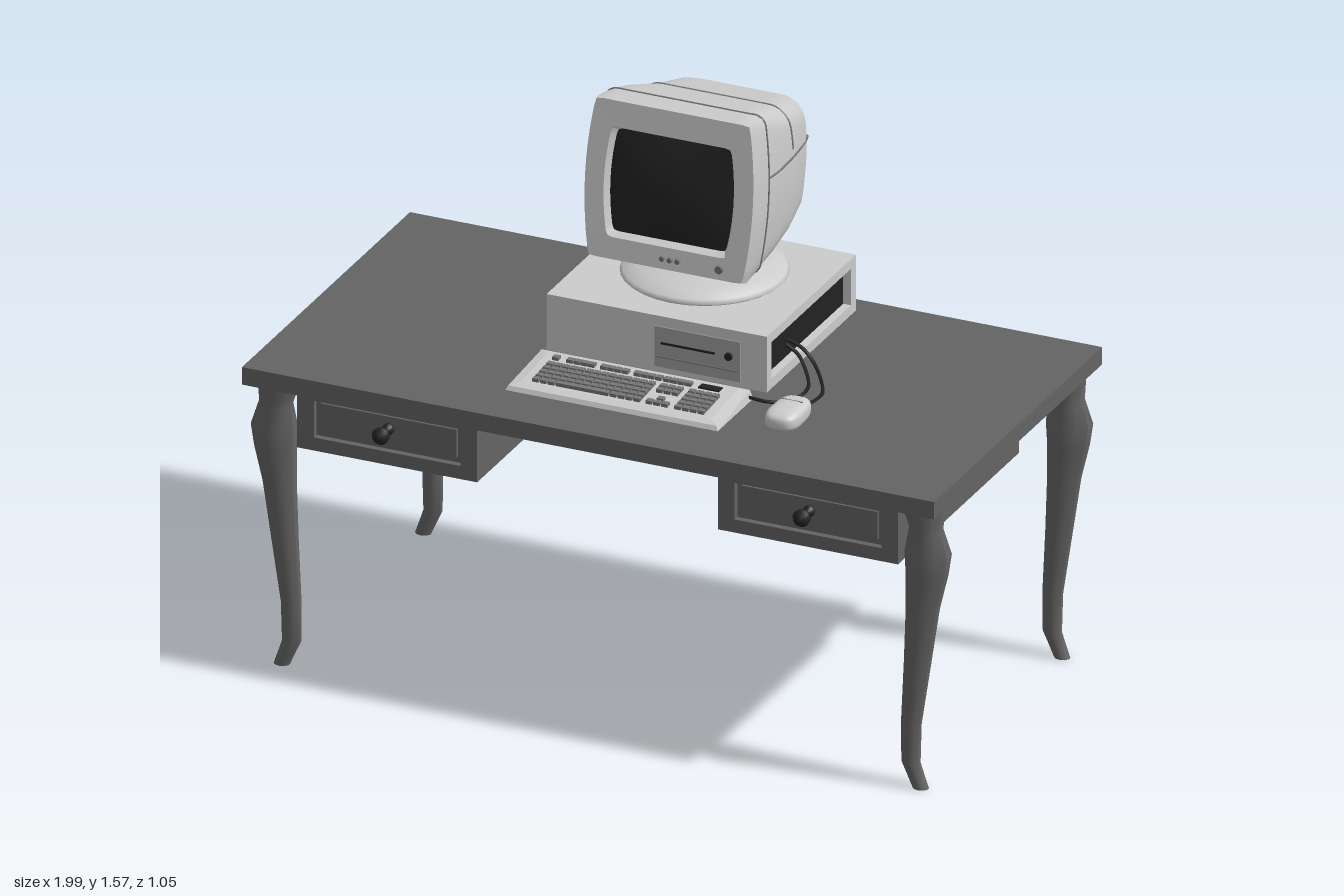
import * as THREE from 'three';
import { mergeGeometries, toCreasedNormals } from 'three/addons/utils/BufferGeometryUtils.js';

const mat = (color) => new THREE.MeshStandardMaterial({ color });
const GREY = mat(0xcccccc), WOOD = mat(0x646464), DARK = mat(0x222222), MID = mat(0x777777), PANEL = mat(0xa0a0a0);
const V = (x, y, z) => new THREE.Vector3(x, y, z);
const lerp = THREE.MathUtils.lerp;

function add(parent, name, geo, material, x = 0, y = 0, z = 0) {
  const m = new THREE.Mesh(geo, material);
  m.name = name;
  m.position.set(x, y, z);
  parent.add(m);
  return m;
}
const box = (w, h, d) => new THREE.BoxGeometry(w, h, d);

// Skin a list of rings (equal point counts); optionally close both ends
function loft(rings, crease, capStart, capEnd) {
  const n = rings[0].length, pts = rings.flat(), idx = [];
  for (let r = 0; r < rings.length - 1; r++) for (let i = 0; i < n; i++) {
    const a = r * n + i, c = r * n + (i + 1) % n;
    idx.push(a, a + n, c, c, a + n, c + n);
  }
  const cap = (ring, start, flip) => {
    const c = pts.length;
    pts.push(ring.reduce((s, p) => s.add(p), V(0, 0, 0)).divideScalar(n));
    for (let i = 0; i < n; i++) {
      const j = (i + 1) % n;
      idx.push(c, start + (flip ? j : i), start + (flip ? i : j));
    }
  };
  if (capStart) cap(rings[0], 0, false);
  if (capEnd) cap(rings.at(-1), (rings.length - 1) * n, true);
  const g = new THREE.BufferGeometry().setFromPoints(pts);
  g.setIndex(idx);
  return toCreasedNormals(g, crease);
}

// Rectangular frame with a rectangular opening, facing +z
function frame(w, h, iw, ih, depth) {
  const rect = (P, a, b) => new P([[-a, -b], [a, -b], [a, b], [-a, b]].map(([x, y]) => new THREE.Vector2(x / 2, y / 2)));
  const s = rect(THREE.Shape, w, h);
  s.holes.push(rect(THREE.Path, iw, ih));
  return new THREE.ExtrudeGeometry(s, { depth, bevelEnabled: false });
}
const tube = (pts, r, tension = 0.5) =>
  new THREE.TubeGeometry(new THREE.CatmullRomCurve3(pts, false, 'catmullrom', tension), pts.length * 5, r, 6);

function buildDesk() {
  const g = new THREE.Group();
  g.name = 'desk';
  add(g, 'deskTop', box(1.98, 0.05, 1.046), WOOD, 0, 0.845, 0);
  // curved leg: height, centre x, half width, half depth
  const leg = [[0.82, 0.922, 0.058, 0.05], [0.8, 0.923, 0.055, 0.049], [0.75, 0.93, 0.046, 0.037], [0.68, 0.935, 0.064, 0.05],
    [0.62, 0.932, 0.058, 0.045], [0.52, 0.92, 0.046, 0.037], [0.36, 0.905, 0.037, 0.03], [0.18, 0.887, 0.028, 0.022],
    [0.07, 0.886, 0.026, 0.02], [0.04, 0.898, 0.024, 0.019], [0, 0.914, 0.022, 0.018]];
  for (const sx of [-1, 1]) for (const z of [-0.44, 0.44]) {
    const rings = leg.map(([y, cx, rx, rz]) => Array.from({ length: 10 }, (_, i) => {
      const a = (i + 0.5) / 10 * Math.PI * 2;
      return V(sx * cx + rx * Math.cos(a), y, z - rz * Math.sin(a));
    }));
    add(g, 'leg', loft(rings, 0.7, false, true), WOOD);
  }
  // drawers with framed fronts and turned knobs
  const knob = new THREE.LatheGeometry([[0, 0], [0.016, 0], [0.016, 0.006], [0.009, 0.014], [0.009, 0.03], [0.022, 0.038],
    [0.024, 0.052], [0.016, 0.066], [0, 0.07]].map(([r, h]) => new THREE.Vector2(r, h)), 16).rotateX(Math.PI / 2);
  for (const x of [-0.602, 0.602]) {
    add(g, 'drawerBox', box(0.515, 0.18, 0.735), WOOD, x, 0.73, 0.0775);
    add(g, 'drawerFrame', frame(0.515, 0.18, 0.42, 0.105, 0.018), WOOD, x, 0.73, 0.445);
    add(g, 'drawerPanel', box(0.39, 0.08, 0.012), WOOD, x, 0.735, 0.449);
    add(g, 'drawerKnob', knob, DARK, x, 0.74, 0.455);
  }
  return g;
}

function buildCase() {
  const g = new THREE.Group();
  g.name = 'computerCase';
  add(g, 'caseBody', box(0.605, 0.16, 0.555), GREY, -0.0125, 0.95, -0.1825);
  // rim around the dark recessed side
  const rim = add(g, 'caseSideRim', frame(0.555, 0.16, 0.495, 0.105, 0.025), GREY, 0.29, 0.95, -0.1825);
  rim.rotation.y = Math.PI / 2;
  add(g, 'caseSideRecess', box(0.002, 0.105, 0.495), DARK, 0.291, 0.95, -0.1825);
  add(g, 'drivePanel', box(0.245, 0.115, 0.006), PANEL, 0.117, 0.943, 0.095);
  add(g, 'driveSlot', box(0.155, 0.006, 0.004), DARK, 0.09, 0.955, 0.098);
  add(g, 'driveEdge', box(0.235, 0.003, 0.004), MID, 0.117, 0.915, 0.098);
  add(g, 'powerButton', new THREE.CylinderGeometry(0.011, 0.011, 0.01, 14).rotateX(Math.PI / 2), DARK, 0.208, 0.955, 0.1);
  return g;
}

function buildMonitor() {
  const g = new THREE.Group();
  g.name = 'monitor';
  const bulge = (t) => 1 - 0.085 * t * t;
  // rounded, barrel-sided section: z bottom, z top, y bottom, y top, half width, corner radius
  const ring = ([zb, zt, yb, yt, hw, r]) => {
    const N = 20, hh = (yt - yb) / 2, pts = [];
    for (let k = 0; k < 4 * N; k++) {
      const u = (k % N) / N * 2 - 1;
      const [a, b] = [[1, u], [-u, 1], [-1, -u], [u, -1]][Math.floor(k / N)];
      const x = a * hw, y = b * hh;
      const cx = THREE.MathUtils.clamp(x, r - hw, hw - r), cy = THREE.MathUtils.clamp(y, r - hh, hh - r);
      const s = Math.min(1, r / (Math.hypot(x - cx, y - cy) || 1));
      const py = cy + (y - cy) * s, t = py / hh;
      pts.push(V((cx + (x - cx) * s) * bulge(t), (yb + yt) / 2 + py, lerp(zb, zt, (t + 1) / 2)));
    }
    return pts;
  };
  const secs = [[0.016, -0.017, 1.21, 1.49, 0.176, 0.01], [0.037, 0.002, 1.2, 1.5, 0.186, 0.012], [0.044, -0.006, 1.14, 1.572, 0.24, 0.008],
    [0.02, -0.025, 1.13, 1.572, 0.244, 0.01], [-0.05, -0.09, 1.13, 1.565, 0.244, 0.025], [-0.15, -0.15, 1.13, 1.553, 0.24, 0.045],
    [-0.27, -0.27, 1.13, 1.51, 0.225, 0.055], [-0.38, -0.4, 1.14, 1.477, 0.203, 0.06], [-0.418, -0.438, 1.16, 1.46, 0.188, 0.06],
    [-0.43, -0.447, 1.19, 1.43, 0.16, 0.05]];
  add(g, 'monitorShell', loft(secs.map(ring), 0.6, false, true), GREY);

  // bulged glass screen
  const glass = new THREE.PlaneGeometry(2, 2, 16, 16), p = glass.attributes.position;
  for (let i = 0; i < p.count; i++) {
    const a = p.getX(i), b = p.getY(i);
    p.setXYZ(i, a * 0.178 * bulge(b), 1.35 + b * 0.142, -0.001 - 0.0165 * b + 0.022 * (1 - a * a) * (1 - b * b));
  }
  glass.computeVertexNormals();
  add(g, 'screen', glass, DARK);

  // shell seams
  const bezel = ring(secs[4]);
  add(g, 'bezelSeam', tube([...bezel, bezel[0]], 0.003), MID);
  add(g, 'topSeam', tube(ring(secs[6]).filter((q, i) => q.y > 1.385 && i < 60), 0.003), MID);
  const side = [[0.242, 1.398, -0.075], [0.239, 1.388, -0.15], [0.224, 1.374, -0.27], [0.201, 1.36, -0.392], [0.186, 1.357, -0.431], [0.15, 1.355, -0.442]];
  add(g, 'sideSeam', tube([...side.map((q) => V(...q)), ...side.reverse().map(([x, y, z]) => V(-x, y, z))], 0.003), MID);

  // sloped connector panel on the back, extruded across x
  const prof = new THREE.Shape([[0.39, 1.19], [0.447, 1.2], [0.464, 1.335], [0.4, 1.35]].map((q) => new THREE.Vector2(...q)));
  const back = new THREE.ExtrudeGeometry(prof, { depth: 0.22, bevelEnabled: false }).rotateY(Math.PI / 2);
  add(g, 'backPanel', back.translate(-0.11, 0, 0), MID);

  for (const [x, r] of [[-0.008, 0.007], [0.014, 0.007], [0.036, 0.007], [0.155, 0.011]])
    add(g, 'monitorButton', new THREE.CylinderGeometry(r, r, 0.014, 12).rotateX(Math.PI / 2), MID, x, 1.17, 0.043);

  // swivel neck and round foot
  const lathe = (pts, seg) => new THREE.LatheGeometry(pts.map((q) => new THREE.Vector2(...q)), seg);
  add(g, 'swivelNeck', lathe([[0, 1.06], [0.06, 1.075], [0.095, 1.09], [0.13, 1.112], [0.158, 1.145]], 24), GREY, 0, 0, -0.205);
  add(g, 'monitorFoot', lathe([[0.215, 1.03], [0.222, 1.036], [0.215, 1.047], [0.18, 1.063], [0.12, 1.078], [0.06, 1.085], [0, 1.085]], 32), GREY, 0, 0, -0.205);
  return g;
}

function buildKeyboard() {
  const g = new THREE.Group();
  g.name = 'keyboard';
  const layer = (hw, zf, zb, yf, yb) => [V(hw, yf, zf), V(hw, yb, zb), V(-hw, yb, zb), V(-hw, yf, zf)];
  const body = loft([layer(0.272, 0.338, 0.172, 0.889, 0.902), layer(0.298, 0.36, 0.152, 0.883, 0.898), layer(0.304, 0.366, 0.145, 0.871, 0.871)], 0.1, true, true);
  add(g, 'keyboardBody', body, GREY, -0.005, 0, 0);
  const keys = [];
  const key = (x, z, w = 0.018) => keys.push(box(w, 0.012, 0.017).translate(x, lerp(0.902, 0.889, (z - 0.172) / 0.166) + 0.003, z));
  key(-0.241, 0.195);
  for (const x of [-0.2, -0.104, -0.008, 0.077]) for (let i = 0; i < 4; i++) key(x + i * 0.0205, 0.195);
  for (let r = 0; r < 5; r++) {
    const z = 0.232 + r * 0.0215;
    // main block, with a space bar in the last row
    for (let c = 0; c < 14; c++) if (r < 4 || c < 3 || c > 9) key(-0.241 + c * 0.0222, z);
    if (r === 4) key(-0.108, z, 0.15);
    // cursor block and number pad
    for (let c = 0; c < 3; c++) if (r < 2 || r === 4 || (r === 3 && c === 1)) key(0.083 + c * 0.0222, z);
    for (let c = 0; c < 4; c++) key(0.165 + c * 0.0222, z);
  }
  add(g, 'keys', mergeGeometries(keys), MID);
  add(g, 'indicatorPanel', box(0.06, 0.006, 0.024), DARK, 0.198, 0.901, 0.191);
  return g;
}

function buildMouse() {
  const g = new THREE.Group();
  g.name = 'mouse';
  const geo = new THREE.SphereGeometry(1, 28, 20), p = geo.attributes.position;
  const sq = (v) => Math.sign(v) * Math.abs(v) ** 0.65;
  for (let i = 0; i < p.count; i++) {
    const z = sq(p.getZ(i));
    p.setXYZ(i, sq(p.getX(i)) * (0.047 + 0.003 * z), sq(p.getY(i)) * 0.029, z * 0.077);
  }
  geo.computeVertexNormals();
  add(g, 'mouseBody', geo, GREY, 0.447, 0.901, 0.246);
  add(g, 'mouseButtonSeam', box(0.06, 0.002, 0.003), MID, 0.447, 0.929, 0.225);
  return g;
}

export function createModel() {
  const model = new THREE.Group();
  model.name = 'computerDesk';
  model.add(buildDesk(), buildCase(), buildMonitor(), buildKeyboard(), buildMouse());
  // cables from the case side to the mouse and the keyboard
  add(model, 'mouseCable', tube([V(0.29, 0.94, -0.09), V(0.34, 0.925, -0.08), V(0.39, 0.895, -0.05), V(0.45, 0.88, 0.04), V(0.462, 0.885, 0.11), V(0.458, 0.895, 0.18)], 0.005), DARK);
  add(model, 'keyboardCable', tube([V(0.29, 0.93, -0.08), V(0.335, 0.91, -0.065), V(0.385, 0.878, -0.01), V(0.41, 0.877, 0.06), V(0.395, 0.877, 0.13), V(0.35, 0.878, 0.16), V(0.29, 0.882, 0.163)], 0.005), DARK);
  return model;
}
